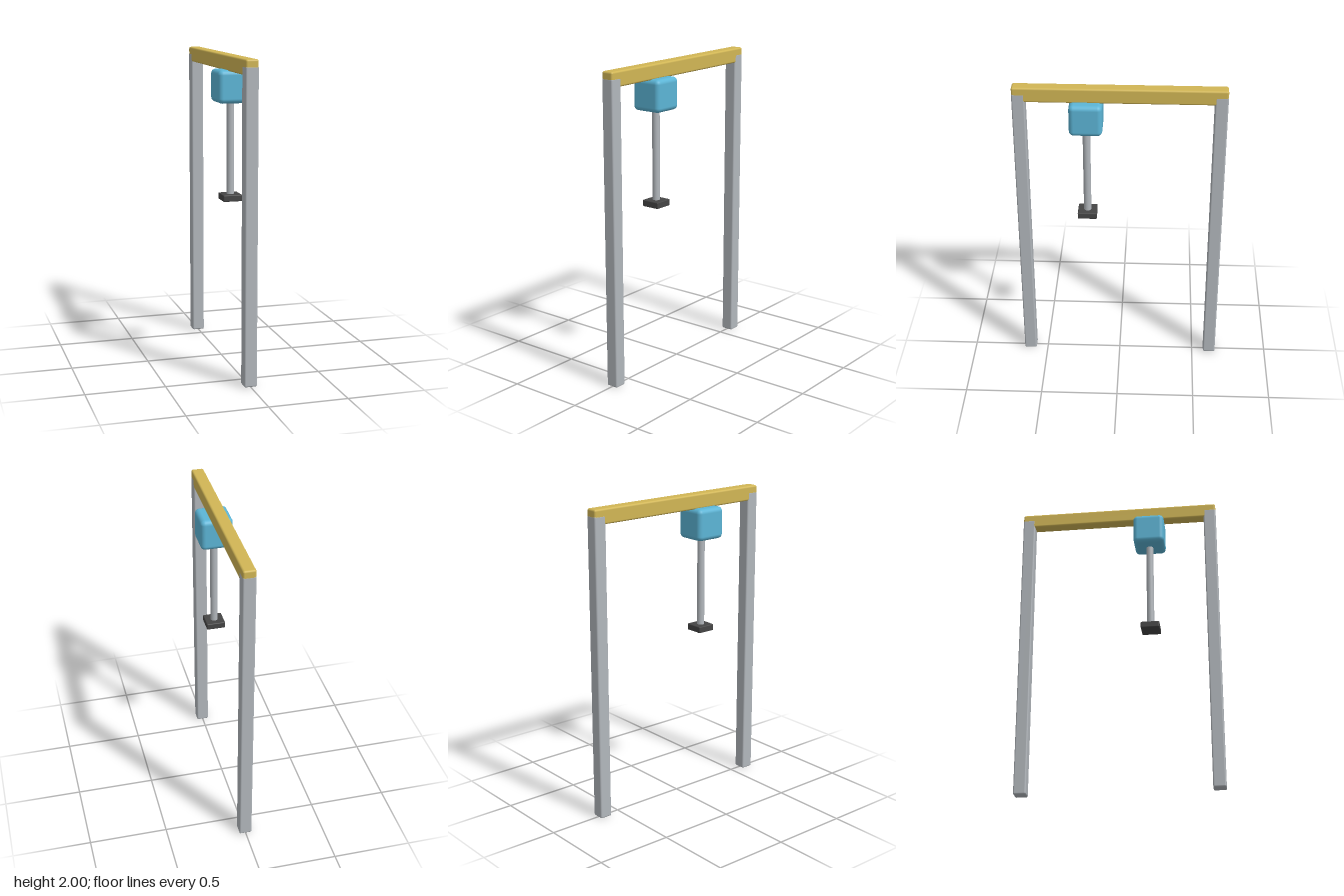
import * as THREE from 'three';
import { RoundedBoxGeometry } from 'three/addons/geometries/RoundedBoxGeometry.js';

const mat = (name, color) => {
  const m = new THREE.MeshStandardMaterial({ color });
  m.name = name;
  return m;
};

export function createModel() {
  const gantry = new THREE.Group();
  gantry.name = 'gantry';
  const yellow = mat('yellow', 0xd1b655);
  const steel = mat('steel', 0xb2b7bc);
  const blue = mat('blue', 0x5cb5d6);
  const dark = mat('darkGrey', 0x454545);

  const add = (name, geometry, material, x, y, z) => {
    const mesh = new THREE.Mesh(geometry, material);
    mesh.name = name;
    mesh.position.set(x, y, z);
    gantry.add(mesh);
  };
  const box = (w, h, d, r) => new RoundedBoxGeometry(w, h, d, 3, r);

  // Two legs, a hair wider than the beam so their tops wrap its ends
  for (const [name, s] of [['frontLeg', 1], ['backLeg', -1]]) {
    add(name, box(0.081, 1.96, 0.081, 0.01), steel, 0, 0.98, s * 0.6175);
  }

  // Beam across the top
  add('beam', box(0.08, 0.096, 1.315, 0.012), yellow, 0, 1.952, 0);

  // Trolley hanging under the beam, with its rod and foot plate
  const z = 0.207;
  add('trolley', box(0.205, 0.205, 0.205, 0.03), blue, 0, 1.808, z);
  add('rod', new THREE.CylinderGeometry(0.024, 0.024, 0.6, 24), steel, 0, 1.42, z);
  add('footPlate', box(0.122, 0.042, 0.122, 0.006), dark, 0, 1.108, z);

  return gantry;
}
